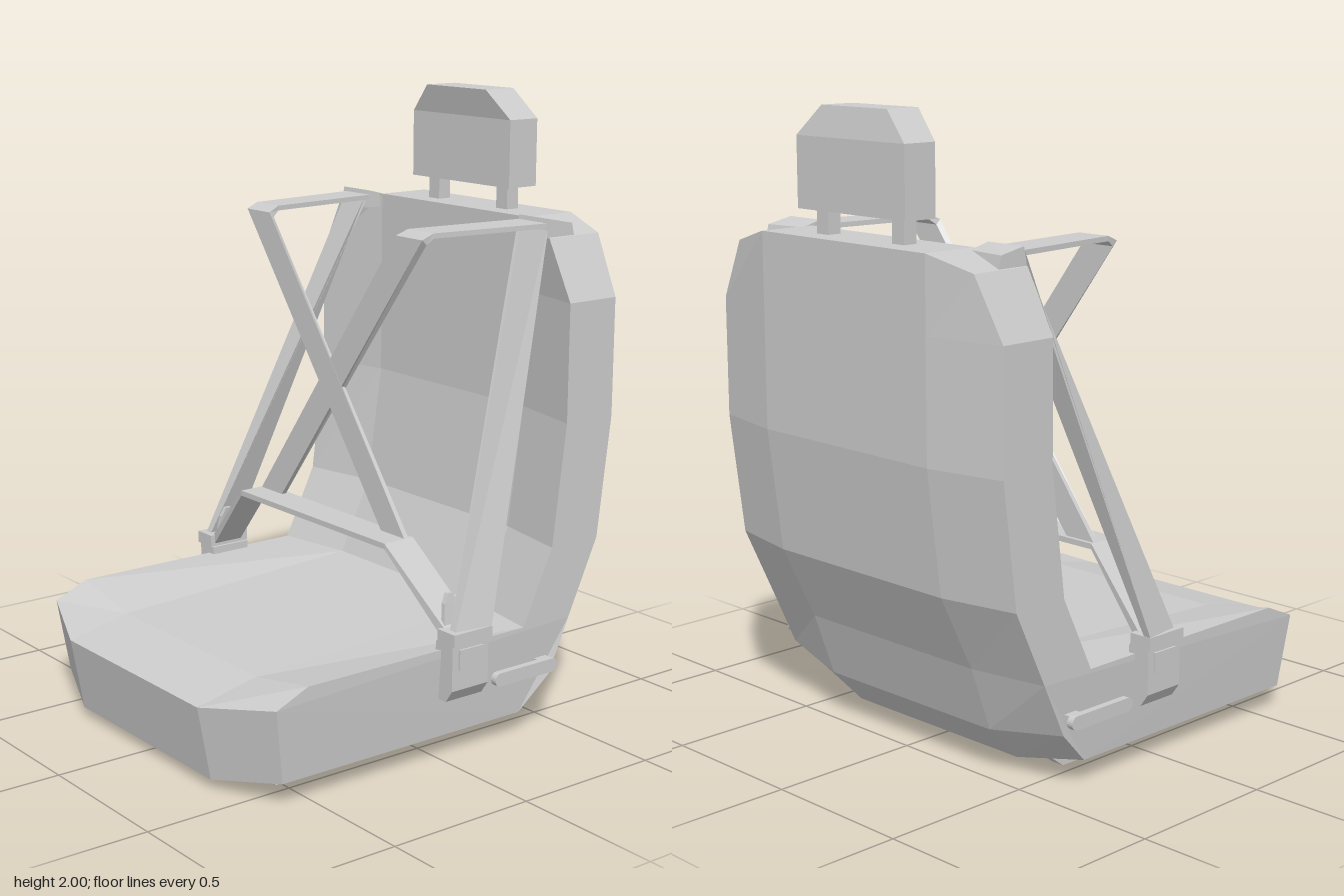
import * as THREE from 'three';

const V = (x, y, z) => new THREE.Vector3(x, y, z);
const material = new THREE.MeshStandardMaterial({ color: 0xcccccc, flatShading: true });

// Triangulates an end cap in its dominant plane
function capTriangles(ring) {
  const n = V(0, 0, 0);
  ring.forEach((p, i) => n.add(p.clone().cross(ring[(i + 1) % ring.length])));
  const a = n.toArray().map(Math.abs);
  const k = a.indexOf(Math.max(...a));
  const flat = ring.map(p => { const q = p.toArray(); q.splice(k, 1); return new THREE.Vector2(...q); });
  return THREE.ShapeUtils.triangulateShape(flat, []).map(f => {
    const t = f.map(i => ring[i]);
    const c = t[1].clone().sub(t[0]).cross(t[2].clone().sub(t[0]));
    return c.dot(n) < 0 ? [t[0], t[2], t[1]] : t;
  });
}

// Closed solid through equal-length rings, turned so its faces point outwards
function loft(name, rings) {
  const tris = [];
  for (let r = 0; r + 1 < rings.length; r++) {
    const A = rings[r], B = rings[r + 1];
    for (let i = 0; i < A.length; i++) {
      const j = (i + 1) % A.length;
      tris.push([A[i], A[j], B[j]], [A[i], B[j], B[i]]);
    }
  }
  capTriangles(rings[0]).forEach(t => tris.push([t[0], t[2], t[1]]));
  tris.push(...capTriangles(rings[rings.length - 1]));
  const volume = tris.reduce((s, t) => s + t[0].dot(t[1].clone().cross(t[2])), 0);
  const points = tris.flatMap(t => (volume < 0 ? [t[0], t[2], t[1]] : t));
  const geo = new THREE.BufferGeometry().setFromPoints(points);
  geo.computeVertexNormals();
  const mesh = new THREE.Mesh(geo, material);
  mesh.name = name;
  return mesh;
}

// Strap: each station holds two edge points and a thickness offset
const band = (name, stations) => loft(name, stations.map(([a, b, off]) =>
  [a, b, b.clone().add(off), a.clone().add(off)]));

// Horizontal rectangle used as a loft ring
const rect = (x0, x1, y, z0, z1) => [V(x0, y, z0), V(x1, y, z0), V(x1, y, z1), V(x0, y, z1)];

function box(name, x0, x1, y0, y1, z0, z1) {
  const mesh = new THREE.Mesh(new THREE.BoxGeometry(x1 - x0, y1 - y0, z1 - z0), material);
  mesh.position.set((x0 + x1) / 2, (y0 + y1) / 2, (z0 + z1) / 2);
  mesh.name = name;
  return mesh;
}

// Cushion and backrest: centre profile and side profile joined across x
function seatShell() {
  const centre = [[.03, .69], [.27, .735], [.317, .52], [.362, -.375], [.605, -.49], [1, -.545],
    [1.38, -.545], [1.615, -.545], [1.615, -.735], [1.38, -.735], [1, -.735], [.605, -.685],
    [.36, -.565], [.15, -.49], [.03, -.375]].map(([y, z]) => V(.365, y, z));
  const side = [[.075, .6, .605], [.315, .635], [.365, .52], [.365, -.325], [.605, -.44], [1, -.49],
    [1.38, -.49], [1.57, -.49, .525], [1.57, -.7, .525], [1.38, -.685], [1, -.685], [.605, -.635],
    [.36, -.52], [.185, -.44], [.075, -.33, .605]].map(([y, z, x = .625]) => V(x, y, z));
  const flip = ring => ring.map(p => V(-p.x, p.y, p.z));
  return loft('seatShell', [flip(side), flip(centre), centre, side]);
}

// Belt, buckle, lever and rail of one side (s = 1 left, -1 right)
function sideParts(s) {
  const g = new THREE.Group();
  g.name = s > 0 ? 'leftHarness' : 'rightHarness';
  const P = (x, y, z) => V(s * x, y, z);
  const R = (x0, x1, y, z0, z1) => rect(s * x0, s * x1, y, z0, z1);
  const B = (name, x0, x1, ...rest) => box(name, Math.min(s * x0, s * x1), Math.max(s * x0, s * x1), ...rest);
  const dz = s > 0 ? 0 : .002;

  // Shoulder strap: forward over the shoulder, then diagonally to the lap
  g.add(band('shoulderStrap', [
    [P(.51, 1.598, -.54), P(.38, 1.598, -.54), V(0, .016, 0)],
    [P(.455, 1.598, -.08), P(.335, 1.598, -.08), V(0, .016, 0)],
    [P(.45, 1.58, -.056 + dz), P(.325, 1.58, -.056 + dz), V(0, .016, .017)],
    [P(-.27, .645, -.056 + dz), P(-.385, .645, -.056 + dz), V(0, 0, .017)],
  ]));

  // Anchor folded over the top of the backrest
  g.add(loft('strapAnchor', [
    [P(.52, 1.57, -.6), P(.52, 1.61, -.59), P(.52, 1.628, -.5), P(.52, 1.57, -.488)],
    [P(.375, 1.57, -.575), P(.375, 1.61, -.57), P(.375, 1.628, -.5), P(.375, 1.57, -.488)],
  ]));

  // Twisted strap from the anchor down to the buckle
  g.add(band('sideStrap', [
    [P(.385, 1.61, -.485), P(.51, 1.61, -.485), P(0, 0, -.015)],
    [P(.645, .42, 0), P(.665, .42, -.13), P(.025, 0, 0)],
  ]));

  // Buckle with collar, release button and tapered foot
  g.add(B('buckleCollar', .61, .69, .39, .43, -.135, .018));
  g.add(loft('buckleBody', [
    R(.6, .65, .205, -.13, .015), R(.6, .678, .245, -.13, .015), R(.6, .678, .39, -.13, .015)]));
  g.add(B('buckleButton', .67, .685, .31, .375, -.105, -.01));

  // Belt tongue
  g.add(loft('beltTongue', [
    [P(.6, .43, -.1), P(.6, .43, -.005), P(.615, .43, -.005), P(.615, .43, -.1)],
    [P(.59, .5, -.065), P(.59, .5, -.015), P(.605, .5, -.015), P(.605, .5, -.065)],
    [P(.585, .53, -.05), P(.585, .53, -.03), P(.6, .53, -.03), P(.6, .53, -.05)],
  ]));

  // Recline lever: a rounded bar on a short pivot
  const shape = new THREE.Shape();
  shape.absarc(-.2, .23, .022, -Math.PI / 2, Math.PI / 2);
  shape.absarc(-.42, .23, .022, Math.PI / 2, Math.PI * 1.5);
  const geo = new THREE.ExtrudeGeometry(shape, { depth: .022, bevelEnabled: false, curveSegments: 5 });
  geo.rotateY(-Math.PI / 2);
  const lever = new THREE.Mesh(geo, material);
  lever.position.x = s > 0 ? .662 : -.64;
  lever.name = 'reclineLever';
  g.add(lever, B('leverPivot', .6, .645, .212, .248, -.43, -.38));

  // Floor rail with sloped ends
  g.add(loft('floorRail', [R(.415, .46, 0, -.27, .52), R(.415, .46, .045, -.33, .565)]));

  // Headrest post
  g.add(B('headrestPost', .143, .195, 1.6, 1.7, -.66, -.612));
  return g;
}

export function createModel() {
  const model = new THREE.Group();
  model.name = 'harnessSeat';
  model.add(seatShell());

  // Headrest with a narrowed top leaning forward
  model.add(loft('headrest', [
    rect(-.24, .24, 1.69, -.695, -.578),
    rect(-.24, .24, 1.908, -.695, -.578),
    rect(-.145, .145, 2, -.675, -.555),
  ]));

  // Lap belt bridging both buckles
  const drop = V(0, -.018, 0);
  model.add(band('lapBelt', [-.62, -.385, .385, .62].map(x => {
    const end = Math.abs(x) > .5;
    const y = end ? .43 : .65;
    return [V(x, y, end ? -.11 : -.07), V(x, y, end ? 0 : .045), end ? V(0, -.04, 0) : drop];
  })));

  model.add(sideParts(1), sideParts(-1));
  return model;
}
